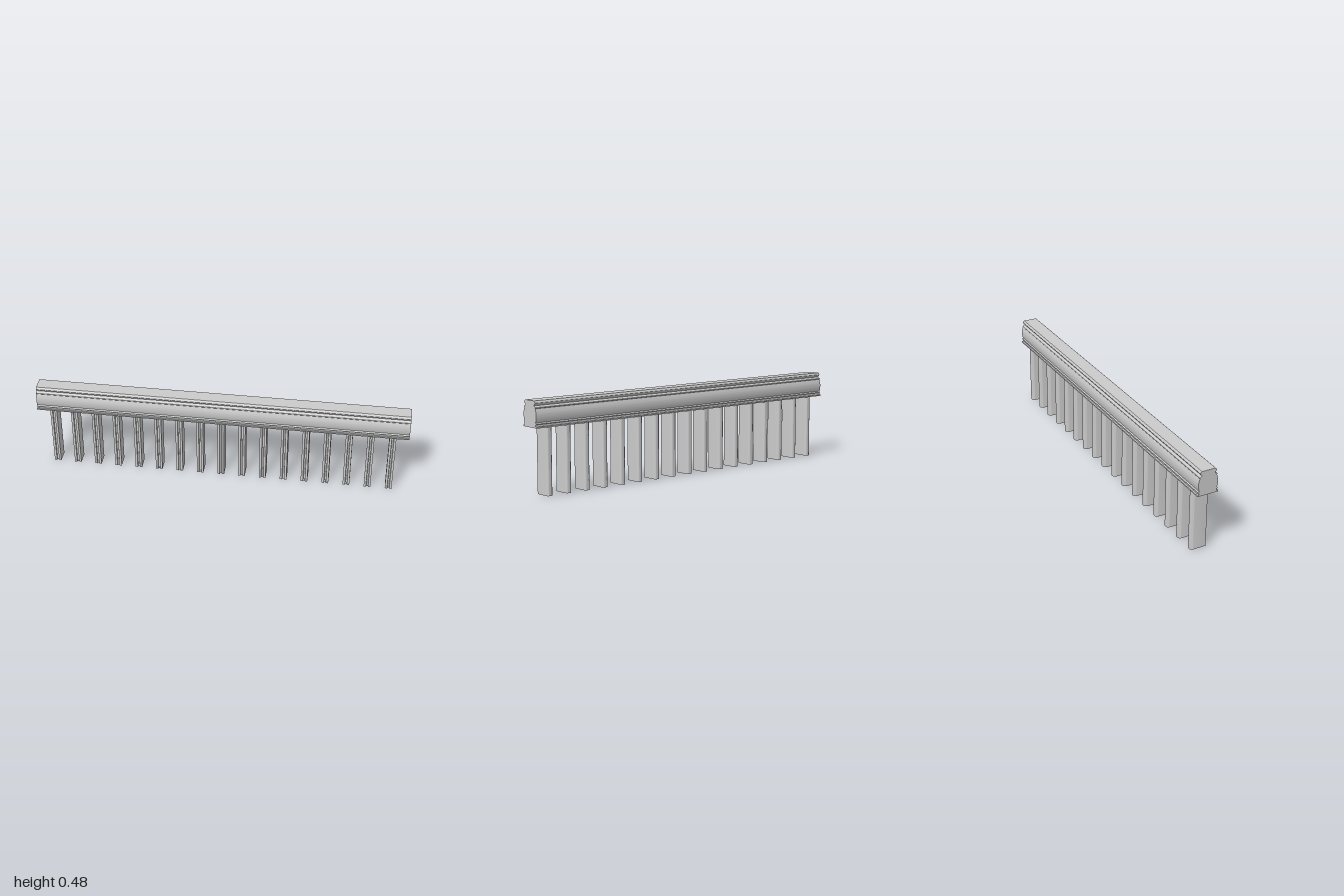
import * as THREE from 'three';
import { toCreasedNormals } from 'three/addons/utils/BufferGeometryUtils.js';

const material = new THREE.MeshStandardMaterial({ color: 0xcccccc });

// Shape mirrored about its vertical axis from a right-hand outline, bottom to top
function mirroredShape(half) {
  const left = half.map(p => new THREE.Vector2(-p.x, p.y)).reverse();
  return new THREE.Shape([...half, ...left]);
}

function extrude(shape, depth) {
  const g = new THREE.ExtrudeGeometry(shape, { depth, bevelEnabled: false, curveSegments: 8 });
  return toCreasedNormals(g, 0.6);
}

const points = list => list.map(([x, y]) => new THREE.Vector2(x, y));
const smooth = (list, n) => new THREE.SplineCurve(points(list)).getPoints(n);

// Moulded handrail section: base fillet, bead, bulging body, lip, cove and cap
function railGeometry() {
  const half = [
    ...points([[0.058, 0.347], [0.058, 0.354], [0.049, 0.354], [0.049, 0.364]]),
    ...smooth([[0.051, 0.366], [0.055, 0.368], [0.05, 0.372]], 6),
    ...smooth([[0.049, 0.374], [0.053, 0.39], [0.0545, 0.407], [0.053, 0.424], [0.047, 0.443]], 14),
    ...points([[0.05, 0.447], [0.049, 0.449]]),
    ...smooth([[0.041, 0.452], [0.036, 0.457], [0.041, 0.462], [0.045, 0.469], [0.043, 0.476], [0.0375, 0.481]], 16),
  ];
  return extrude(mirroredShape(half), 2).rotateY(Math.PI / 2).translate(-1, 0, 0);
}

// Flat baluster section: grooved front edge and rounded-off back corners
function balusterGeometry(height) {
  const s = new THREE.Shape();
  s.moveTo(-0.018, -0.043);
  s.lineTo(-0.006, -0.043);
  s.lineTo(-0.004, -0.036);
  s.lineTo(0.004, -0.036);
  s.lineTo(0.006, -0.043);
  s.lineTo(0.018, -0.043);
  s.lineTo(0.018, 0.028);
  s.quadraticCurveTo(0.016, 0.04, 0.006, 0.043);
  s.lineTo(-0.006, 0.043);
  s.quadraticCurveTo(-0.016, 0.04, -0.018, 0.028);
  return extrude(s, height).rotateX(-Math.PI / 2);
}

export function createModel() {
  const group = new THREE.Group();
  group.name = 'balustrade';

  const rail = new THREE.Mesh(railGeometry(), material);
  rail.name = 'handrail';
  group.add(rail);

  // Evenly spaced balusters under the rail
  const geometry = balusterGeometry(0.347);
  for (let i = -8; i <= 8; i++) {
    const baluster = new THREE.Mesh(geometry, material);
    baluster.name = `baluster${i + 9}`;
    baluster.position.x = i * 0.1143;
    group.add(baluster);
  }
  return group;
}
